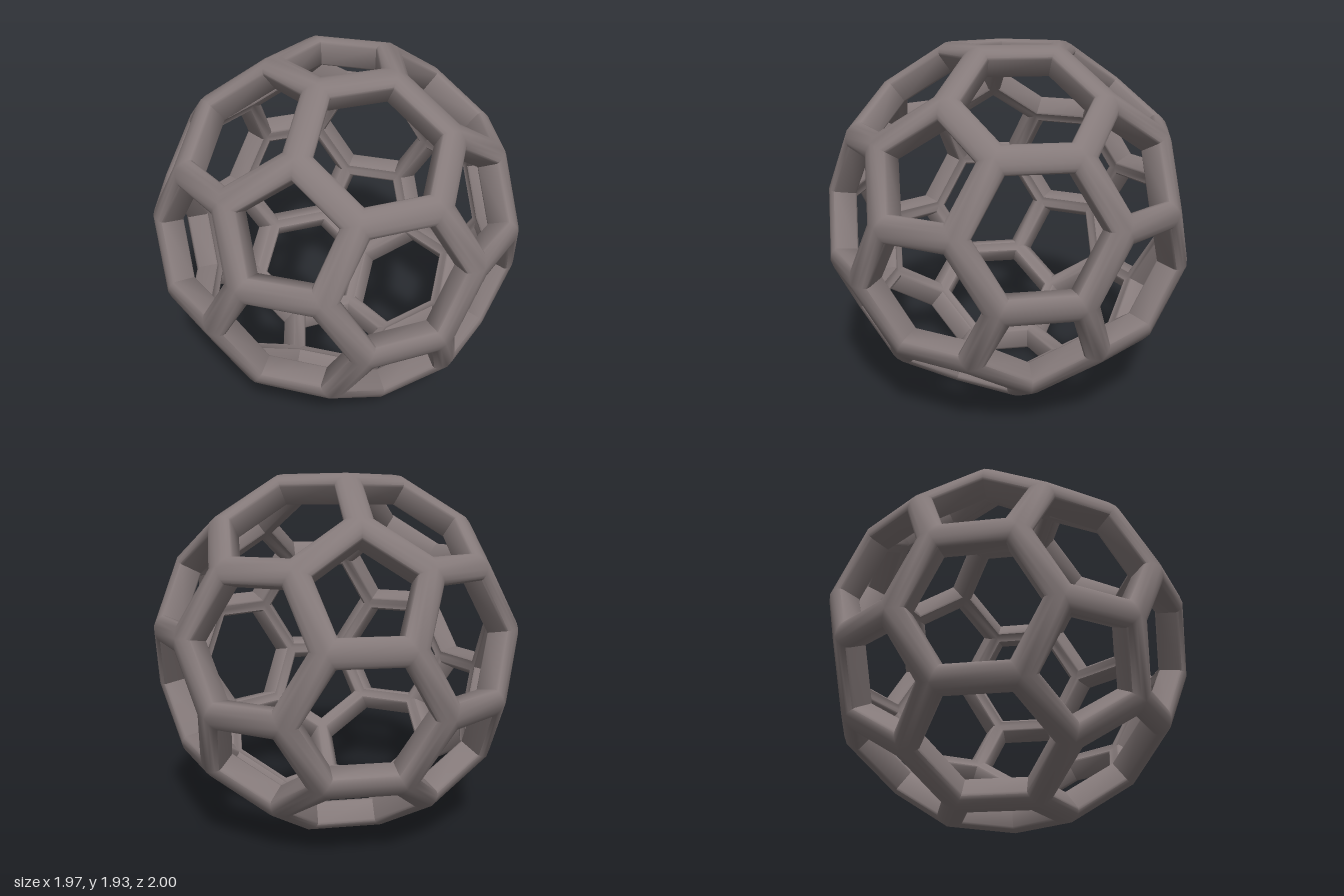
import * as THREE from 'three';
import { mergeGeometries, toCreasedNormals } from 'three/addons/utils/BufferGeometryUtils.js';

const EDGE = 0.383;              // strut centreline length
const RADIUS = EDGE * 2.478;     // centreline corner radius
const RIDGE = 0.0705;            // half depth of a strut, measured at its ridge
const CENTRE_Y = 0.965;

// Twelve pentagon directions: two poles and two staggered rings of five
function pentagonDirections() {
  const dirs = [new THREE.Vector3(0, 1, 0), new THREE.Vector3(0, -1, 0)];
  for (let i = 0; i < 10; i++) {
    const a = i * Math.PI / 5, y = (i % 2 ? -1 : 1) / Math.sqrt(5), r = 2 / Math.sqrt(5);
    dirs.push(new THREE.Vector3(r * Math.cos(a), y, r * Math.sin(a)));
  }
  return dirs;
}

// Corners of the cage lie a third of the way along each line between neighbours
function cageCorners(dirs) {
  const corners = [];
  for (const p of dirs) for (const q of dirs) {
    if (p !== q && p.dot(q) > 0.4) corners.push(p.clone().lerp(q, 1 / 3).setLength(RADIUS));
  }
  return corners;
}

// Twenty hexagon directions: centres of each trio of neighbours
function hexagonDirections(dirs) {
  const out = [];
  const near = (p, q) => p.dot(q) > 0.4;
  for (let i = 0; i < 12; i++) for (let j = i + 1; j < 12; j++) for (let k = j + 1; k < 12; k++) {
    const [p, q, r] = [dirs[i], dirs[j], dirs[k]];
    if (near(p, q) && near(q, r) && near(p, r)) out.push(p.clone().add(q).add(r).normalize());
  }
  return out;
}

// Mitred half-struts around one opening, swept from outer ridge to inner ridge
function openingFrame(n, corners) {
  const dist = Math.max(...corners.map(c => c.dot(n)));
  const ring = corners.filter(c => c.dot(n) > dist - 0.01);
  const u = ring[0].clone().addScaledVector(n, -dist).normalize();
  const v = n.clone().cross(u);
  const angle = c => Math.atan2(c.dot(v), c.dot(u));
  ring.sort((a, b) => angle(a) - angle(b));

  const sides = ring.length, miter = Math.cos(Math.PI / sides);
  const rho = Math.sqrt(RADIUS * RADIUS - dist * dist);
  const tilt = Math.atan2(rho * miter, dist);
  const rd = RIDGE * Math.sin(tilt), rh = RIDGE * Math.cos(tilt);
  // [inset from centreline, height above the opening's plane]
  const profile = [[-rd, rh], [0.01, 0.074], [0.035, 0.072], [0.052, 0.062],
    [0.058, 0.05], [0.06, -0.055], [0.052, -0.064], [rd, -rh]];

  const pos = [], index = [], m = profile.length;
  for (const c of ring) {
    const out = c.clone().addScaledVector(n, -dist).normalize();
    for (const [d, h] of profile) {
      const p = n.clone().multiplyScalar(dist + h).addScaledVector(out, rho - d / miter);
      pos.push(p.x, p.y, p.z);
    }
  }
  for (let i = 0; i < sides; i++) for (let j = 0; j < m - 1; j++) {
    const a = i * m + j, b = ((i + 1) % sides) * m + j;
    index.push(a, b, b + 1, a, b + 1, a + 1);
  }
  const g = new THREE.BufferGeometry();
  g.setAttribute('position', new THREE.Float32BufferAttribute(pos, 3));
  g.setIndex(index);
  return g;
}

export function createModel() {
  const group = new THREE.Group();
  group.name = 'openSphericalCage';
  const pentagons = pentagonDirections();
  const corners = cageCorners(pentagons);
  const frames = [...pentagons, ...hexagonDirections(pentagons)].map(n => openingFrame(n, corners));
  // Joined before shading so neighbouring half-struts blend over their ridges
  const geometry = toCreasedNormals(mergeGeometries(frames), 0.75);
  const cage = new THREE.Mesh(geometry, new THREE.MeshStandardMaterial({ color: 0x857a7a }));
  cage.name = 'cageStruts';
  cage.position.y = CENTRE_Y;
  group.add(cage);
  return group;
}
